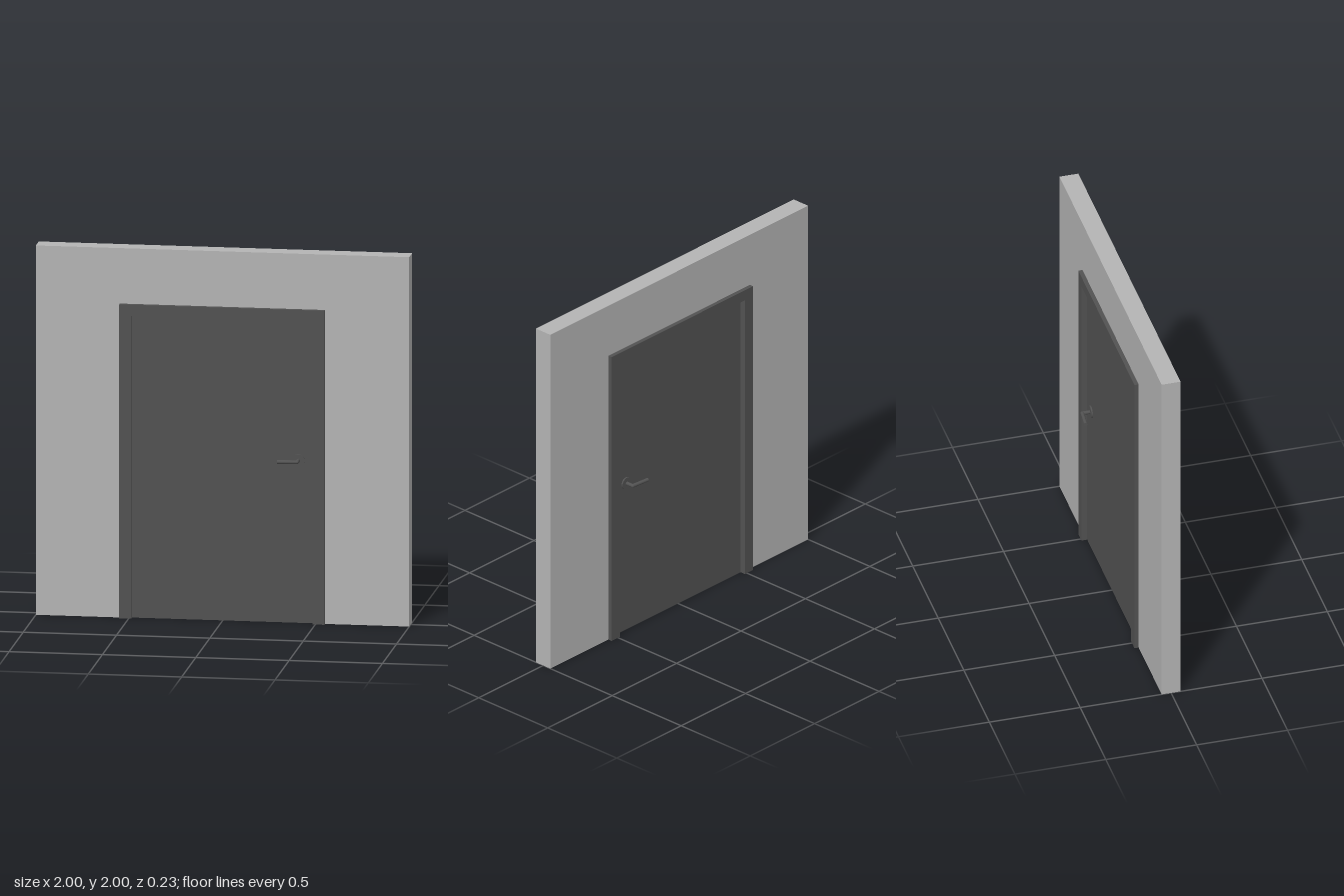
import * as THREE from 'three';

export function createModel() {
  const model = new THREE.Group();
  const paint = (name, color) => {
    const m = new THREE.MeshStandardMaterial({ color });
    m.name = name;
    return m;
  };
  const wallGrey = paint('wallGrey', 0xb4b4b4);
  const darkGrey = paint('darkGrey', 0x525252);

  const add = (parent, name, geometry, material) => {
    const mesh = new THREE.Mesh(geometry, material);
    mesh.name = name;
    parent.add(mesh);
    return mesh;
  };

  // Upside-down U outline, open at the floor, extruded about z = 0
  const arch = (outerX, outerY, innerX, innerY, depth) => {
    const shape = new THREE.Shape([
      [-outerX, 0], [-innerX, 0], [-innerX, innerY], [innerX, innerY],
      [innerX, 0], [outerX, 0], [outerX, outerY], [-outerX, outerY],
    ].map(([x, y]) => new THREE.Vector2(x, y)));
    return new THREE.ExtrudeGeometry(shape, { depth, bevelEnabled: false })
      .translate(0, 0, -depth / 2);
  };

  // Wall with its opening, and the frame standing proud on both sides
  add(model, 'wall', arch(1, 2, 0.55, 1.7, 0.104), wallGrey);
  add(model, 'doorFrame', arch(0.55, 1.7, 0.485, 1.64, 0.15), darkGrey);

  // Door leaf
  add(model, 'doorLeaf', new THREE.BoxGeometry(0.97, 1.64, 0.088).translate(0, 0.82, 0), darkGrey);

  // Handle on each face: rosette, stem and slightly splayed lever
  for (const side of [1, -1]) {
    const handle = new THREE.Group();
    handle.name = side > 0 ? 'frontHandle' : 'backHandle';
    handle.position.set(0.405, 0.88, 0);
    model.add(handle);

    const rod = (name, from, to, radius, sides = 20) => {
      const a = new THREE.Vector3(from[0], 0, from[1] * side);
      const b = new THREE.Vector3(to[0], 0, to[1] * side);
      const dir = b.clone().sub(a);
      const mesh = add(handle, name, new THREE.CylinderGeometry(radius, radius, dir.length(), sides), darkGrey);
      mesh.position.copy(a).add(b).multiplyScalar(0.5);
      mesh.quaternion.setFromUnitVectors(new THREE.Vector3(0, 1, 0), dir.normalize());
    };
    rod('rosette', [0, 0.04], [0, 0.052], 0.034, 32);
    rod('stem', [0, 0.05], [0, 0.094], 0.01);
    rod('lever', [0, 0.094], [-0.105, 0.104], 0.01);
    add(handle, 'elbow', new THREE.SphereGeometry(0.01, 20, 12), darkGrey).position.z = 0.094 * side;
  }
  return model;
}
